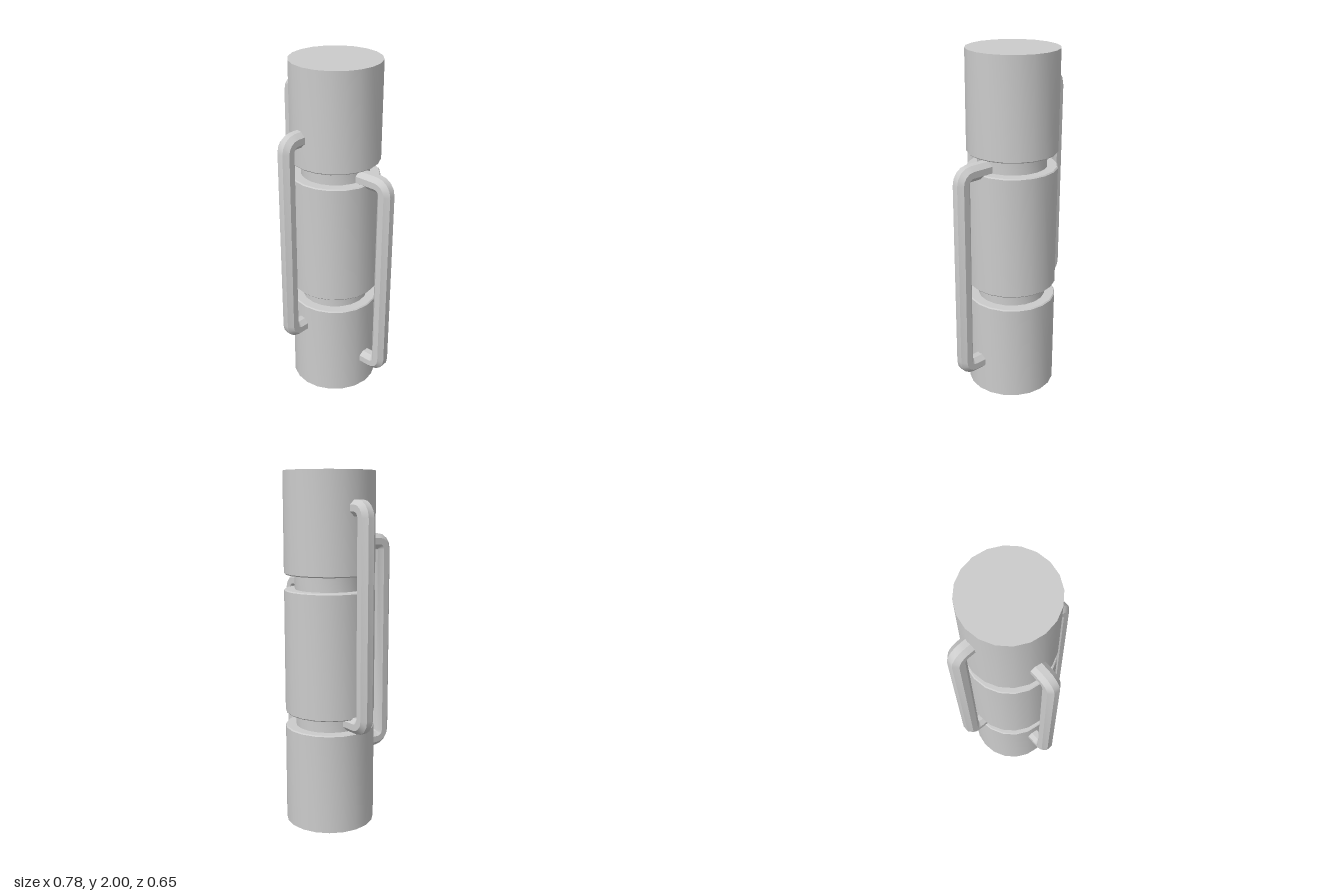
import * as THREE from 'three';
import { toCreasedNormals } from 'three/addons/utils/BufferGeometryUtils.js';

const material = new THREE.MeshStandardMaterial({ color: 0xcccccc });
const CREASE = Math.PI / 6;

// Octagonal bar bent into a C: two inward legs joined by a rounded upright
function handleGeometry(y0, y1, leg = 0.2, bend = 0.05, half = 0.044) {
  const rings = [[-leg, y0, -Math.PI / 2]]; // u, y, angle of the outer side
  const steps = 4;
  for (const [cy, start] of [[y0 + bend, -Math.PI / 2], [y1 - bend, 0]]) {
    for (let i = 0; i <= steps; i++) {
      const a = start + (i / steps) * Math.PI / 2;
      rings.push([-bend + bend * Math.cos(a), cy + bend * Math.sin(a), a]);
    }
  }
  rings.push([-leg, y1, Math.PI / 2]);

  const sides = 8, r = half / Math.cos(Math.PI / sides);
  const positions = [], index = [];
  rings.forEach(([u, y, a], i) => {
    for (let j = 0; j < sides; j++) {
      const b = ((j + 0.5) / sides) * Math.PI * 2;
      const out = r * Math.cos(b);
      positions.push(u + out * Math.cos(a), y + out * Math.sin(a), r * Math.sin(b));
      if (i < rings.length - 1) {
        const p = i * sides + j, q = i * sides + (j + 1) % sides;
        index.push(p, p + sides, q + sides, p, q + sides, q);
      }
    }
  });
  const geometry = new THREE.BufferGeometry();
  geometry.setAttribute('position', new THREE.Float32BufferAttribute(positions, 3));
  geometry.setIndex(index);
  return toCreasedNormals(geometry, CREASE);
}

export function createModel() {
  const model = new THREE.Group();
  model.name = 'groovedCylinderWithHandles';

  // Cylinder with two grooves, groove lips slightly chamfered
  const R = 0.255, N = 0.195, c = 0.006;
  const profile = [[0, 0], [R, 0]];
  for (const [low, high] of [[0.572, 0.652], [1.356, 1.44]]) {
    profile.push([R, low - c], [R - c, low], [N, low], [N, high], [R - c, high], [R, high + c]);
  }
  profile.push([R, 2], [0, 2]);
  const lathe = new THREE.LatheGeometry(profile.map(p => new THREE.Vector2(...p)), 20);
  const body = new THREE.Mesh(toCreasedNormals(lathe, CREASE), material);
  body.name = 'body';
  body.position.set(-0.02, 0, -0.07);
  model.add(body);

  // Handles at staggered heights: name, x, z, turn, lower and upper bar heights
  const handles = [
    ['leftHandle', 0.347, -0.07, 0, 0.198, 1.375],
    ['frontHandle', -0.05, 0.28, -Math.PI / 2, 0.434, 1.613],
    ['rightHandle', -0.35, -0.07, Math.PI, 0.622, 1.803],
  ];
  for (const [name, x, z, turn, y0, y1] of handles) {
    const handle = new THREE.Mesh(handleGeometry(y0, y1), material);
    handle.name = name;
    handle.position.set(x, 0, z);
    handle.rotation.y = turn;
    model.add(handle);
  }
  return model;
}
